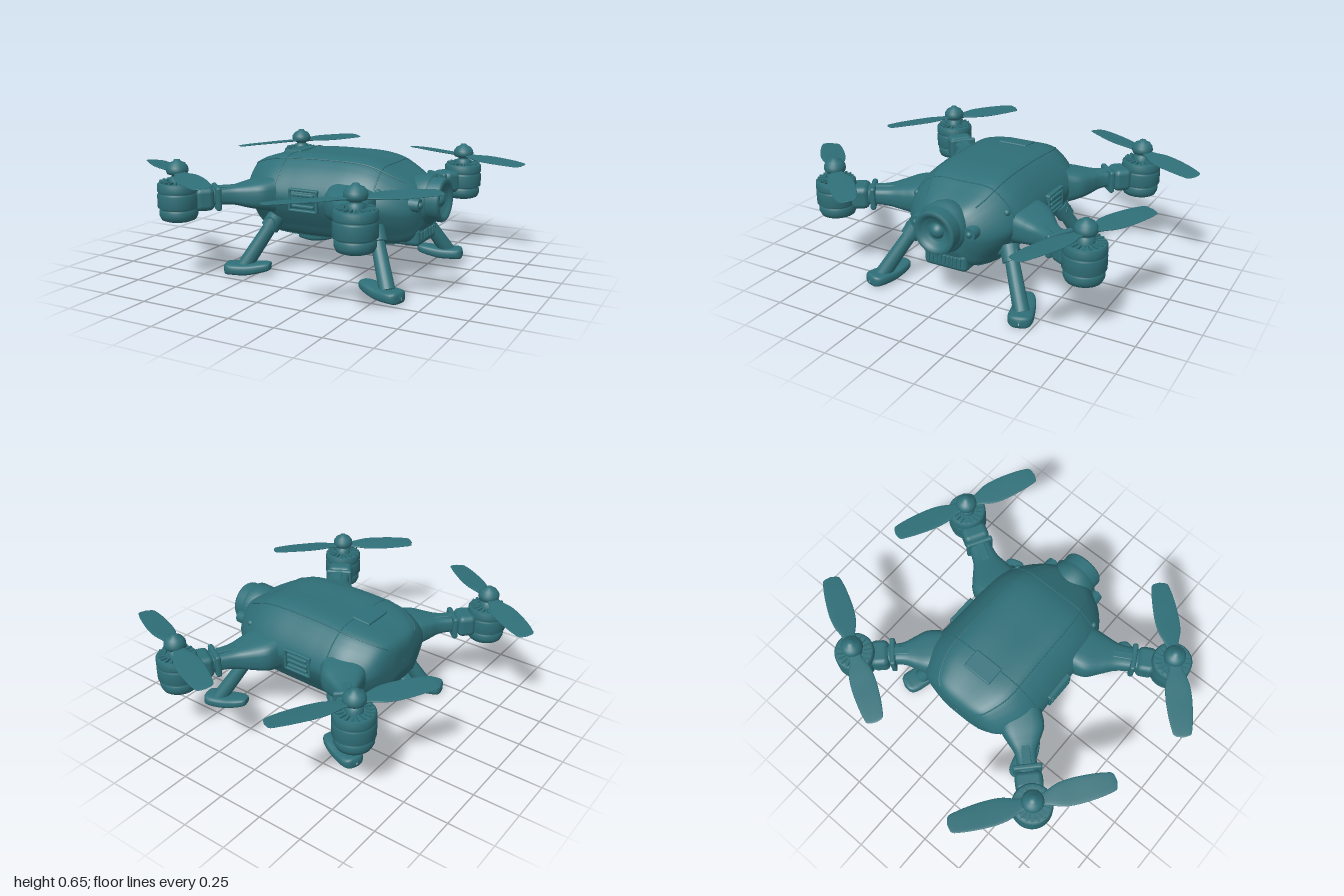
import * as THREE from 'three';
import { ParametricGeometry } from 'three/addons/geometries/ParametricGeometry.js';
import { RoundedBoxGeometry } from 'three/addons/geometries/RoundedBoxGeometry.js';

const V = (x, y, z) => new THREE.Vector3(x, y, z);
const teal = new THREE.MeshStandardMaterial({ color: 0x2f6f78 });
teal.name = 'teal';

function add(parent, name, geometry, x = 0, y = 0, z = 0) {
  const m = new THREE.Mesh(geometry, teal);
  m.name = name;
  m.position.set(x, y, z);
  parent.add(m);
  return m;
}
const box = (x, y, z, r = 0.01) => new RoundedBoxGeometry(x, y, z, 2, r);

// Rings: unit (z, y) outline for an angle fraction v, running from the top towards -z
const half = [[0, 1], [0.5, 0.98], [0.72, 0.78], [0.93, 0.4], [1, 0.08], [0.95, -0.2], [0.8, -0.6], [0.64, -0.92], [0.4, -1]];
const bodyOutline = new THREE.CatmullRomCurve3([
  ...half.map(([z, y]) => V(-z, y, 0)), V(0, -1, 0),
  ...half.slice(1).reverse().map(([z, y]) => V(z, y, 0))], true);
const bodyRing = v => { const p = bodyOutline.getPoint(v); return [p.x, p.y]; };
const boxRing = v => {
  const a = v * Math.PI * 2, f = t => Math.sign(t) * Math.abs(t) ** 0.6;
  return [-f(Math.sin(a)), f(Math.cos(a))];
};

// Surface through stations of [x, half width, top, bottom]
function surface(stations, ring) {
  const a = new THREE.CatmullRomCurve3(stations.map(s => V(s[0], s[2], s[3])), false, 'catmullrom', 0.5);
  const b = new THREE.CatmullRomCurve3(stations.map(s => V(s[0], s[1], 0)), false, 'catmullrom', 0.5);
  return (u, v, target) => {
    const p = a.getPoint(u), w = b.getPoint(u).y, [z, y] = ring(v);
    target.set(p.x, (p.y + p.z) / 2 + y * (p.y - p.z) / 2, z * w);
  };
}
const hull = (stations, ring = boxRing, nu = 24, nv = 28) => new ParametricGeometry(surface(stations, ring), nu, nv);

function rod(parent, name, a, b, r1, r2) {
  const d = b.clone().sub(a), m = add(parent, name, new THREE.CylinderGeometry(r2, r1, d.length(), 20));
  m.position.copy(a).addScaledVector(d, 0.5);
  m.quaternion.setFromUnitVectors(V(0, 1, 0), d.normalize());
  return m;
}
const lathe = pts => new THREE.LatheGeometry(pts.map(p => new THREE.Vector2(...p)), 36);

const bodyStations = [
  [-0.41, 0.002, 0.45, 0.43], [-0.405, 0.12, 0.53, 0.36], [-0.375, 0.24, 0.575, 0.29], [-0.3, 0.31, 0.607, 0.235],
  [-0.2, 0.352, 0.63, 0.21], [-0.05, 0.35, 0.642, 0.2], [0.1, 0.345, 0.645, 0.2], [0.25, 0.34, 0.643, 0.2],
  [0.36, 0.325, 0.625, 0.2], [0.46, 0.285, 0.58, 0.205], [0.55, 0.21, 0.53, 0.23], [0.6, 0.12, 0.48, 0.31], [0.61, 0.002, 0.43, 0.42]];

function buildBody(root) {
  const body = new THREE.Group();
  body.name = 'body';
  root.add(body);
  add(body, 'shell', hull(bodyStations, bodyRing, 72, 72));

  // Panel seams following the shell
  const at = surface(bodyStations, bodyRing);
  const seam = (fn, closed) => {
    const pts = Array.from({ length: 49 }, (_, i) => { const p = V(); at(...fn(i / (closed ? 49 : 48)), p); return p; });
    add(body, 'panelSeam', new THREE.TubeGeometry(new THREE.CatmullRomCurve3(pts, closed), 80, 0.004, 5, closed));
  };
  for (const u of [0.365, 0.7]) seam(t => [u, t], true);
  for (const v of [0.075, 0.925, 0.4, 0.6]) seam(t => [0.14 + t * 0.66, v], false);

  // Top hatch
  add(body, 'hatch', box(0.11, 0.016, 0.17, 0.007), -0.185, 0.633, 0).rotation.z = 0.09;

  // Side vents with slats
  for (const s of [1, -1]) {
    const vent = new THREE.Group();
    vent.name = 'sideVent';
    vent.position.set(0.03, 0.43, s * 0.34);
    body.add(vent);
    for (const y of [-0.055, 0.055]) add(vent, 'ventFrame', box(0.17, 0.014, 0.03, 0.006), 0, y, 0);
    for (const x of [-0.08, 0.08]) add(vent, 'ventFrame', box(0.014, 0.12, 0.03, 0.006), x, 0, 0);
    for (let i = -1; i <= 1; i++) add(vent, 'ventSlat', box(0.13, 0.018, 0.034, 0.007), 0, i * 0.03, 0);
    for (const x of [-0.25, 0.42]) add(body, 'sideBolt', new THREE.SphereGeometry(0.018, 14, 10), x, 0.5, s * (x < 0 ? 0.305 : 0.265));
  }

  // Chin block with grille
  add(body, 'chin', box(0.24, 0.1, 0.25, 0.025), 0.47, 0.248, 0);
  for (let i = -4; i <= 4; i++) add(body, 'chinSlat', box(0.012, 0.05, 0.012, 0.004), 0.59, 0.252, i * 0.023);

  // Nose camera: cowl, stepped rings and domed lens, turned to face +x
  const camera = new THREE.Group();
  camera.name = 'camera';
  camera.position.set(0.42, 0.435, 0);
  camera.rotation.z = -Math.PI / 2;
  body.add(camera);
  add(camera, 'cowl', lathe([[0, 0], [0.07, 0.01], [0.105, 0.06], [0.128, 0.13], [0.132, 0.19], [0.1, 0.2]]));
  add(camera, 'lensHousing', lathe([[0.115, 0.17], [0.116, 0.255], [0.111, 0.265], [0.09, 0.265], [0.086, 0.25],
    [0.074, 0.25], [0.07, 0.24], [0.054, 0.24], [0.05, 0.23], [0, 0.23]]));
  add(camera, 'lens', new THREE.SphereGeometry(0.042, 24, 16), 0, 0.218, 0);
  for (const s of [1, -1]) {
    const lug = add(body, 'sensorLug', new THREE.CylinderGeometry(0.034, 0.04, 0.08, 20), 0.565, 0.43, s * 0.155);
    lug.rotation.z = -Math.PI / 2;
    add(body, 'sensorEye', new THREE.SphereGeometry(0.018, 16, 12), 0.602, 0.43, s * 0.155);
  }
}

// Motor, hub and two-bladed propeller, with the motor base at y = 0
function buildRotor(tips) {
  const g = new THREE.Group();
  g.name = 'rotor';
  add(g, 'motor', lathe([[0, 0], [0.07, 0], [0.09, 0.008], [0.1, 0.03], [0.1, 0.055], [0.094, 0.06], [0.094, 0.068],
    [0.108, 0.074], [0.108, 0.14], [0.102, 0.146], [0.102, 0.154], [0.108, 0.16], [0.106, 0.195], [0.096, 0.204], [0.08, 0.2], [0, 0.2]]));
  for (let i = 0; i < 18; i++) {
    const a = i * Math.PI / 9;
    add(g, 'coolingFin', new THREE.BoxGeometry(0.04, 0.014, 0.01), Math.cos(a) * 0.075, 0.205, Math.sin(a) * 0.075).rotation.y = -a;
  }
  add(g, 'hub', lathe([[0.045, 0.195], [0.045, 0.225], [0.03, 0.23], [0.03, 0.24], [0.052, 0.247], [0.058, 0.262], [0.056, 0.282],
    [0.042, 0.302], [0.02, 0.312], [0.016, 0.32], [0, 0.321]]));
  for (const [dx, dz] of tips) {
    const blade = add(g, 'blade', hull([[0.02, 0.028, 0.008, -0.008], [0.07, 0.035, 0.007, -0.006], [0.14, 0.06, 0.006, -0.004],
      [0.22, 0.068, 0.004, -0.004], [0.32, 0.063, 0.003, -0.004], [0.39, 0.053, 0.001, -0.005], [0.425, 0.041, -0.001, -0.006],
      [0.436, 0.002, -0.003, -0.005]], boxRing, 28, 20), 0, 0.252, 0);
    blade.rotation.set(0.1, Math.atan2(-dz, dx), 0, 'YXZ');
  }
  return g;
}

const frontArm = [[-0.02, 0.12, 0.54, 0.34], [0.06, 0.135, 0.525, 0.35], [0.14, 0.105, 0.505, 0.365], [0.21, 0.075, 0.49, 0.38],
  [0.28, 0.064, 0.485, 0.39], [0.36, 0.06, 0.485, 0.39], [0.45, 0.06, 0.485, 0.39]];
const rearArm = [[-0.02, 0.11, 0.53, 0.34], [0.06, 0.115, 0.515, 0.36], [0.13, 0.085, 0.5, 0.375], [0.19, 0.058, 0.49, 0.39],
  [0.27, 0.052, 0.485, 0.395], [0.35, 0.056, 0.485, 0.39], [0.45, 0.056, 0.485, 0.39]];

// Arm from a shell point out to a motor
function buildArm(root, [name, rx, rz, mx, mz, base, stations, tips]) {
  const arm = new THREE.Group(), dx = mx - rx, dz = mz - rz, len = Math.hypot(dx, dz);
  arm.name = name;
  arm.position.set(rx, base - 0.325, rz);
  arm.rotation.y = Math.atan2(-dz, dx);
  root.add(arm);
  add(arm, 'armBeam', hull(stations));
  add(arm, 'armSleeve', box(0.1, 0.125, 0.145, 0.03), len - 0.13, 0.435, 0);
  add(arm, 'armCollar', box(0.03, 0.125, 0.155, 0.012), len - 0.2, 0.435, 0);
  add(arm, 'armInset', box(0.13, 0.012, 0.045, 0.005), len - 0.27, 0.487, 0);
  const rotor = buildRotor(tips);
  rotor.position.set(mx, base, mz);
  root.add(rotor);
}

// Landing leg; s is the side, f is 1 at the front and -1 at the back
function buildLeg(root, s, f) {
  const leg = new THREE.Group();
  leg.name = f > 0 ? 'frontLeg' : 'rearLeg';
  root.add(leg);
  const top = f > 0 ? V(0.425, 0.29, s * 0.29) : V(-0.18, 0.29, s * 0.29);
  const end = f > 0 ? V(0.55, 0.045, s * 0.42) : V(-0.31, 0.045, s * 0.39);
  rod(leg, 'strut', top, end, 0.036, 0.042);
  rod(leg, 'strutSocket', top.clone().lerp(end, -0.12), top.clone().lerp(end, 0.16), 0.05, 0.05);
  add(leg, 'pivot', new THREE.SphereGeometry(0.045, 20, 14), top.x, top.y, top.z);
  rod(leg, 'pivotPin', V(top.x, top.y, s * 0.2), V(top.x, top.y, s * 0.335), 0.03, 0.03);
  const foot = add(leg, 'foot', hull([[-0.135, 0.002, 0.06, 0.045], [-0.125, 0.035, 0.072, 0.03], [-0.07, 0.055, 0.07, 0.014],
    [0, 0.062, 0.062, 0], [0.08, 0.064, 0.062, 0], [0.115, 0.045, 0.06, 0], [0.127, 0.002, 0.035, 0.02]]),
  f > 0 ? 0.515 : -0.295, 0, s * (f > 0 ? 0.41 : 0.39));
  foot.rotation.y = (f > 0 ? 0 : Math.PI) - s * f * 0.3;
}

export function createModel() {
  const root = new THREE.Group();
  root.name = 'quadcopter';
  buildBody(root);
  [
    ['frontLeftArm', 0.27, 0.28, 0.52, 0.72, 0.322, frontArm, [[0.31, -0.33], [-0.29, 0.26]]],
    ['frontRightArm', 0.27, -0.28, 0.52, -0.73, 0.295, frontArm, [[-0.41, -0.19], [0.39, 0.16]]],
    ['rearLeftArm', -0.22, 0.29, -0.55, 0.635, 0.326, rearArm, [[-0.36, -0.25], [0.36, 0.26]]],
    ['rearRightArm', -0.22, -0.29, -0.53, -0.615, 0.326, rearArm, [[0.22, -0.37], [-0.22, 0.37]]],
  ].forEach(a => buildArm(root, a));
  for (const s of [1, -1]) for (const f of [1, -1]) buildLeg(root, s, f);
  return root;
}
